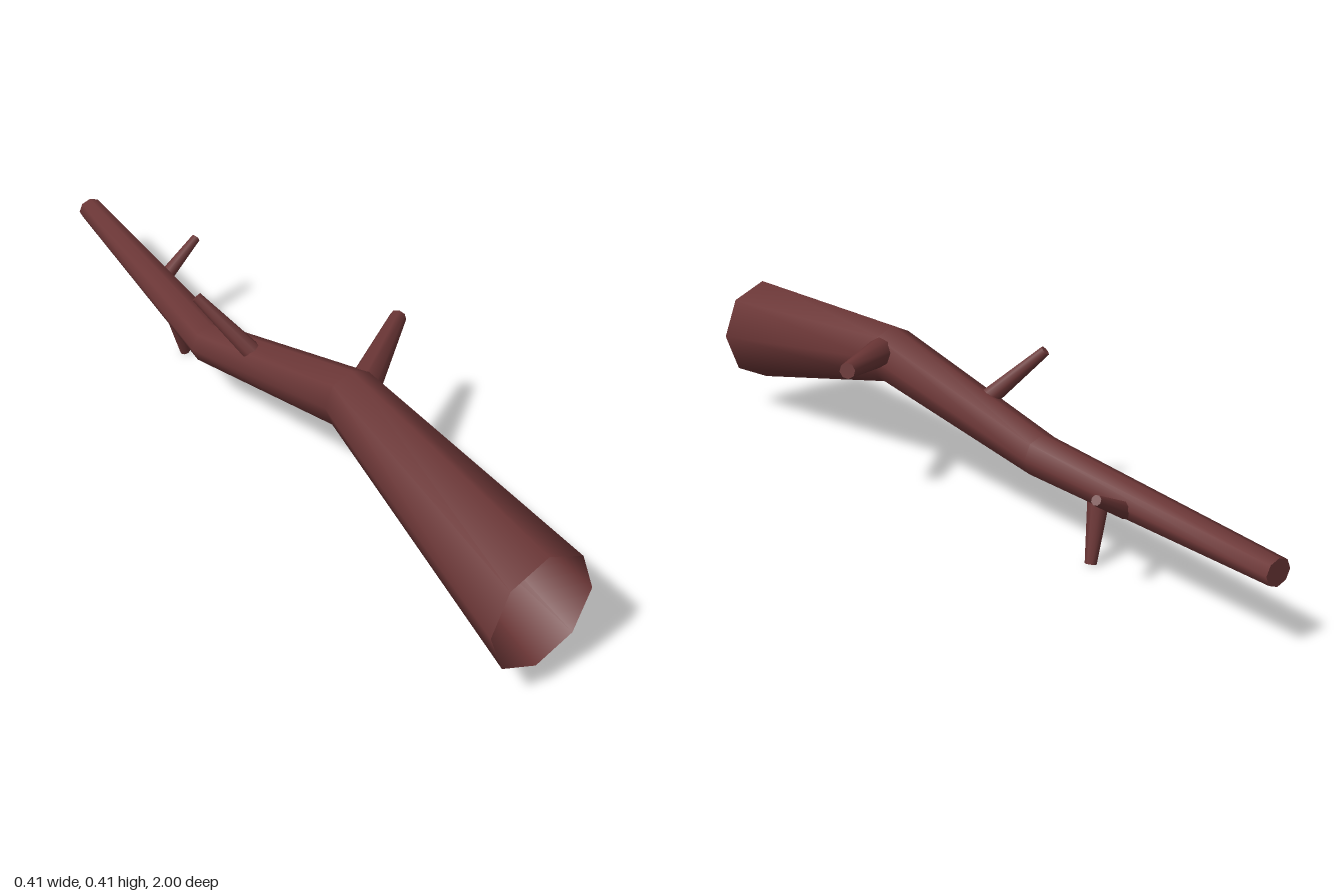
import * as THREE from 'three';
import { mergeVertices } from 'three/addons/utils/BufferGeometryUtils.js';

const SIDES = 8;

// Trunk cross-sections from the open butt to the thin end: x, y, z, half width, half height
const RINGS = [
  [-0.08, 0.225, 1, 0.13, 0.145],
  [-0.057, 0.316, 0.315, 0.069, 0.075],
  [-0.105, 0.183, -0.22, 0.055, 0.053],
  [-0.041, 0.185, -1, 0.035, 0.031],
];

// Twigs: name, base, tip, base radius, tip radius
const TWIGS = [
  ['longTwig', [-0.065, 0.325, 0.345], [0.192, 0.357, 0.155], 0.043, 0.02],
  ['upperTwig', [-0.1, 0.26, -0.003], [-0.196, 0.402, -0.12], 0.025, 0.013],
  ['sideTwig', [-0.05, 0.17, -0.565], [0.08, 0.24, -0.605], 0.02, 0.012],
  ['lowerTwig', [-0.09, 0.16, -0.435], [-0.051, 0.004, -0.456], 0.027, 0.014],
];

// Bent, tapering tube: each ring of a cylinder is moved to its cross-section
function trunkGeometry() {
  const spans = RINGS.length - 1;
  let geo = new THREE.CylinderGeometry(1, 1, spans, SIDES, spans, true);
  geo.rotateX(-Math.PI / 2);
  const pos = geo.attributes.position;
  for (let i = 0; i < pos.count; i++) {
    const [x, y, z, rx, ry] = RINGS[Math.round(spans / 2 - pos.getZ(i))];
    pos.setXYZ(i, x + pos.getX(i) * rx, y + pos.getY(i) * ry, z);
  }
  geo.deleteAttribute('uv');
  geo.deleteAttribute('normal');
  geo = mergeVertices(geo);
  geo.computeVertexNormals();
  return geo;
}

export function createModel() {
  const bark = new THREE.MeshStandardMaterial({ color: 0x6b3636, side: THREE.DoubleSide });
  bark.name = 'bark';
  const group = new THREE.Group();
  group.name = 'branch';

  const add = (name, geo) => {
    const mesh = new THREE.Mesh(geo, bark);
    mesh.name = name;
    group.add(mesh);
    return mesh;
  };

  add('trunk', trunkGeometry());

  // Cap on the thin end
  const [x, y, z, rx, ry] = RINGS[RINGS.length - 1];
  const cap = add('trunkEnd', new THREE.CircleGeometry(1, SIDES).rotateY(Math.PI));
  cap.scale.set(rx, ry, 1);
  cap.position.set(x, y, z);

  // Tapered side twigs
  for (const [name, from, to, r0, r1] of TWIGS) {
    const a = new THREE.Vector3(...from);
    const b = new THREE.Vector3(...to);
    const dir = b.clone().sub(a);
    const twig = add(name, new THREE.CylinderGeometry(r1, r0, dir.length(), SIDES));
    twig.position.copy(a).add(b).multiplyScalar(0.5);
    twig.quaternion.setFromUnitVectors(new THREE.Vector3(0, 1, 0), dir.normalize());
  }
  return group;
}
